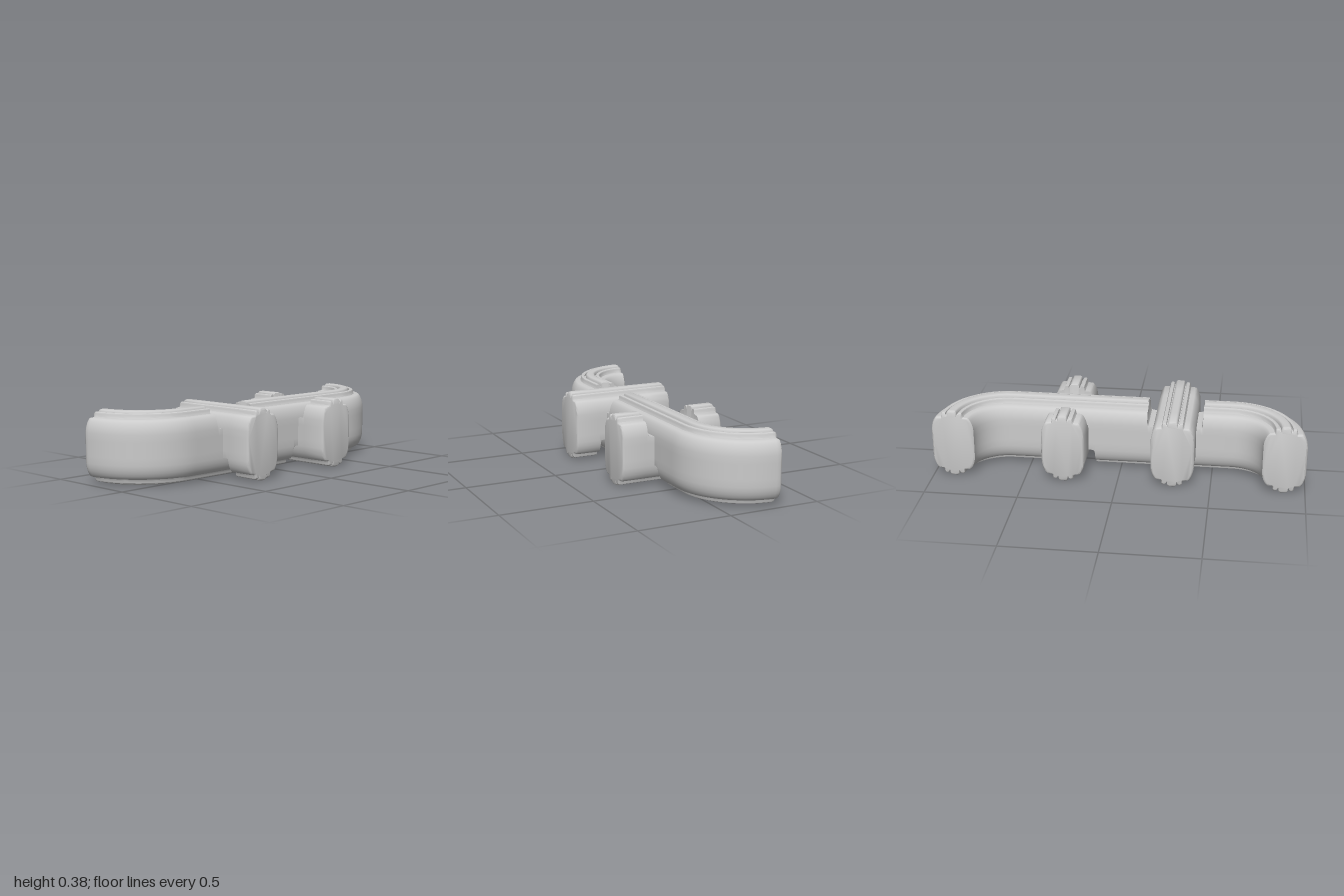
import * as THREE from 'three';
import { toCreasedNormals } from 'three/addons/utils/BufferGeometryUtils.js';

const MID_Y = 0.193;   // height of the bars' centre line
const FULL = 0.19;     // half height of a bar
const FLOOR = 0.077;   // half height left where a bar is notched

// One quarter of the ribbed cross-section, from the side up to the crown
const QUARTER = [
  [0.115, 0.04], [0.115, 0.078], [0.112, 0.1], [0.107, 0.118], [0.1, 0.134], [0.092, 0.146], [0.085, 0.151],
  [0.06, 0.153], [0.057, 0.157], [0.056, 0.17], [0.053, 0.177], [0.047, 0.18], [0.039, 0.18],
  [0.034, 0.177], [0.032, 0.167], [0.027, 0.167], [0.025, 0.182], [0.02, 0.188], [0.013, 0.19],
];
const upper = [...QUARTER, ...QUARTER.slice().reverse().map(([u, v]) => [-u, v])];
const PROFILE = [...upper, ...upper.map(([u, v]) => [-u, -v])];

// Sweep the profile through stations { x, z, tx, tz, inset, top, bottom }
function sweep(stations) {
  const n = PROFILE.length, pos = [], index = [];
  const section = ({ inset = 0, top = FULL, bottom = FULL }) => PROFILE.map(([u, v]) =>
    new THREE.Vector2(u * (1 - inset / 0.115), THREE.MathUtils.clamp(v * (1 - inset / FULL), -bottom, top)));
  stations.forEach((s, k) => {
    for (const p of section(s)) pos.push(s.x + s.tz * p.x, MID_Y + p.y, s.z - s.tx * p.x);
    if (k === 0) return;
    for (let i = 0; i < n; i++) {
      const j = (i + 1) % n, a = (k - 1) * n, b = k * n;
      index.push(a + i, a + j, b + j, a + i, b + j, b + i);
    }
  });
  // Flat end caps
  const last = (stations.length - 1) * n;
  for (const [a, b, c] of THREE.ShapeUtils.triangulateShape(section(stations[0]), [])) {
    index.push(a, c, b, last + a, last + b, last + c);
  }
  const g = new THREE.BufferGeometry();
  g.setAttribute('position', new THREE.Float32BufferAttribute(pos, 3));
  g.setIndex(index);
  return toCreasedNormals(g, 0.6);
}

// Stations of a square notch with rounded corners between a and b; side is 'top' or 'bottom'
function notch(a, b, side, place) {
  const steps = [[-0.008, FULL], [-0.002, FULL - 0.003], [0, FULL - 0.01], [0, FLOOR + 0.02],
    [0.006, FLOOR + 0.006], [0.02, FLOOR]];
  const enter = steps.map(([d, h]) => ({ ...place(a + d), [side]: h }));
  const leave = steps.map(([d, h]) => ({ ...place(b - d), [side]: h })).reverse();
  return [...enter, ...leave];
}

// Rounding of a bar's end: distance from the end, inset of the section
const ROUND = [[0, 0.01], [0.003, 0.004], [0.01, 0]];

// Stations of a quarter bend; the open end is rounded
function bend(cx, from, to, openFirst) {
  const R = 0.285, steps = 20, out = [];
  const at = (t, inset = 0) => ({
    x: cx + R * Math.cos(t), z: -0.29 + R * Math.sin(t), tx: Math.sin(t), tz: -Math.cos(t), inset,
  });
  const rounds = ROUND.map(([d, inset]) => at(openFirst ? from - d / R : to + d / R, inset));
  if (openFirst) out.push(...rounds);
  for (let i = openFirst ? 1 : 0; i <= (openFirst ? steps : steps - 1); i++) {
    out.push(at(from + (to - from) * i / steps));
  }
  if (!openFirst) out.push(...rounds.reverse());
  return out;
}

export function createModel() {
  const group = new THREE.Group();
  const material = new THREE.MeshStandardMaterial({ color: 0xcccccc });
  const add = (name, stations) => {
    const mesh = new THREE.Mesh(sweep(stations), material);
    mesh.name = name;
    group.add(mesh);
  };

  // Long bar with both ends bent back, notched on top and underneath
  const alongX = (x) => ({ x, z: -0.005, tx: 1, tz: 0 });
  add('longBar', [
    ...bend(-0.6, Math.PI, Math.PI / 2, true),
    ...notch(-0.445, -0.145, 'top', alongX),
    ...notch(0.14, 0.44, 'bottom', alongX),
    ...bend(0.6, Math.PI / 2, 0, false),
  ]);

  // Short bars interlocking with the long one
  for (const [name, x, side] of [['rightCrossBar', -0.295, 'bottom'], ['leftCrossBar', 0.29, 'top']]) {
    const alongZ = (z) => ({ x, z, tx: 0, tz: 1 });
    add(name, [
      ...ROUND.map(([d, inset]) => ({ ...alongZ(-0.29 + d), inset })),
      ...notch(-0.155, 0.147, side, alongZ),
      ...ROUND.map(([d, inset]) => ({ ...alongZ(0.29 - d), inset })).reverse(),
    ]);
  }
  return group;
}
